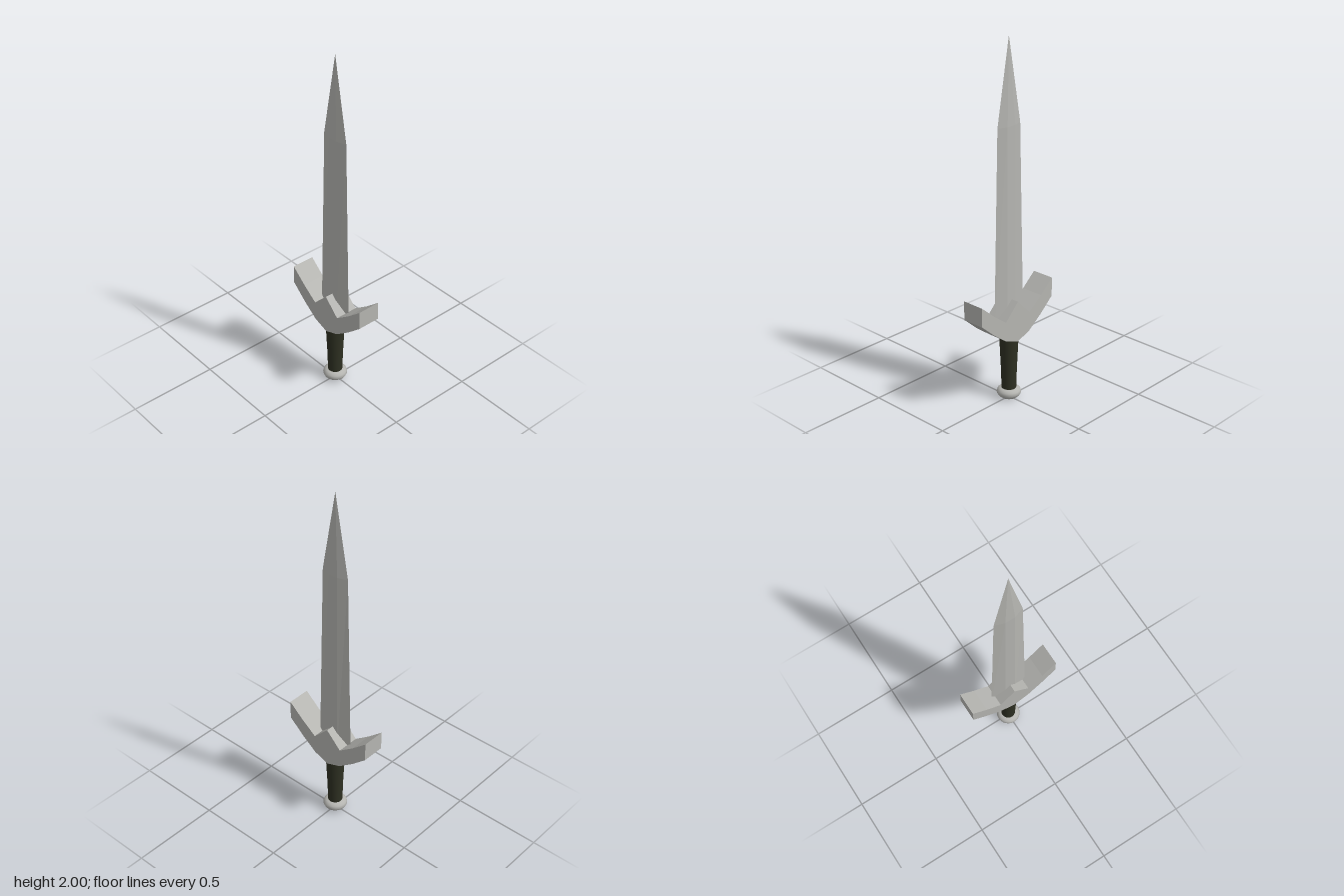
import * as THREE from 'three';

const steel = new THREE.MeshStandardMaterial({ color: 0xb5b5b1 });
steel.name = 'steel';
const leather = new THREE.MeshStandardMaterial({ color: 0x2e3022 });
leather.name = 'darkLeather';

function addMesh(group, name, geometry, material) {
  const mesh = new THREE.Mesh(geometry, material);
  mesh.name = name;
  group.add(mesh);
}

// Hexagonal blade section, counter-clockwise seen from above
function bladeRing(y, w, flat, d) {
  return [[w, 0], [flat, -d], [-flat, -d], [-w, 0], [-flat, d], [flat, d]]
    .map(([x, z]) => new THREE.Vector3(x, y, z));
}

// Blade: straight taper to the shoulder, then to a point
function bladeGeometry() {
  const rings = [bladeRing(0.42, 0.111, 0.031, 0.021), bladeRing(1.54, 0.083, 0.028, 0.018)];
  const tip = new THREE.Vector3(0, 2, 0);
  const base = new THREE.Vector3(0, 0.42, 0);
  const points = [];
  for (let i = 0; i < 6; i++) {
    const j = (i + 1) % 6;
    const [a, b] = [rings[0][i], rings[0][j]];
    const [c, d] = [rings[1][i], rings[1][j]];
    points.push(a, b, d, a, d, c, c, d, tip, b, a, base);
  }
  const geometry = new THREE.BufferGeometry().setFromPoints(points);
  geometry.computeVertexNormals();
  return geometry;
}

// Guard: swept-up arms with a central peak
function guardGeometry() {
  const right = [[0, 0.355], [0.088, 0.387], [0.18, 0.456], [0.267, 0.533],
    [0.267, 0.64], [0.18, 0.565], [0.09, 0.498], [0, 0.588]];
  const left = right.slice(1, -1).reverse().map(([x, y]) => [-x, y]);
  const shape = new THREE.Shape([...right, ...left].map(([x, y]) => new THREE.Vector2(x, y)));
  const geometry = new THREE.ExtrudeGeometry(shape, { depth: 0.13, bevelEnabled: false });
  return geometry.translate(0, 0, -0.065);
}

function lathe(profile, segments) {
  return new THREE.LatheGeometry(profile.map(([r, y]) => new THREE.Vector2(r, y)), segments);
}

export function createModel() {
  const sword = new THREE.Group();
  sword.name = 'sword';
  addMesh(sword, 'blade', bladeGeometry(), steel);
  addMesh(sword, 'guard', guardGeometry(), steel);

  // Grip, slightly wider toward the guard
  addMesh(sword, 'grip', lathe([[0.04, 0.05], [0.043, 0.17], [0.049, 0.3], [0.053, 0.4]], 24), leather);

  // Flattened round pommel
  addMesh(sword, 'pommel', lathe([[0, 0], [0.025, 0.001], [0.046, 0.006], [0.06, 0.018], [0.067, 0.033],
    [0.063, 0.047], [0.052, 0.057], [0.036, 0.061], [0, 0.062]], 24), steel);
  return sword;
}
